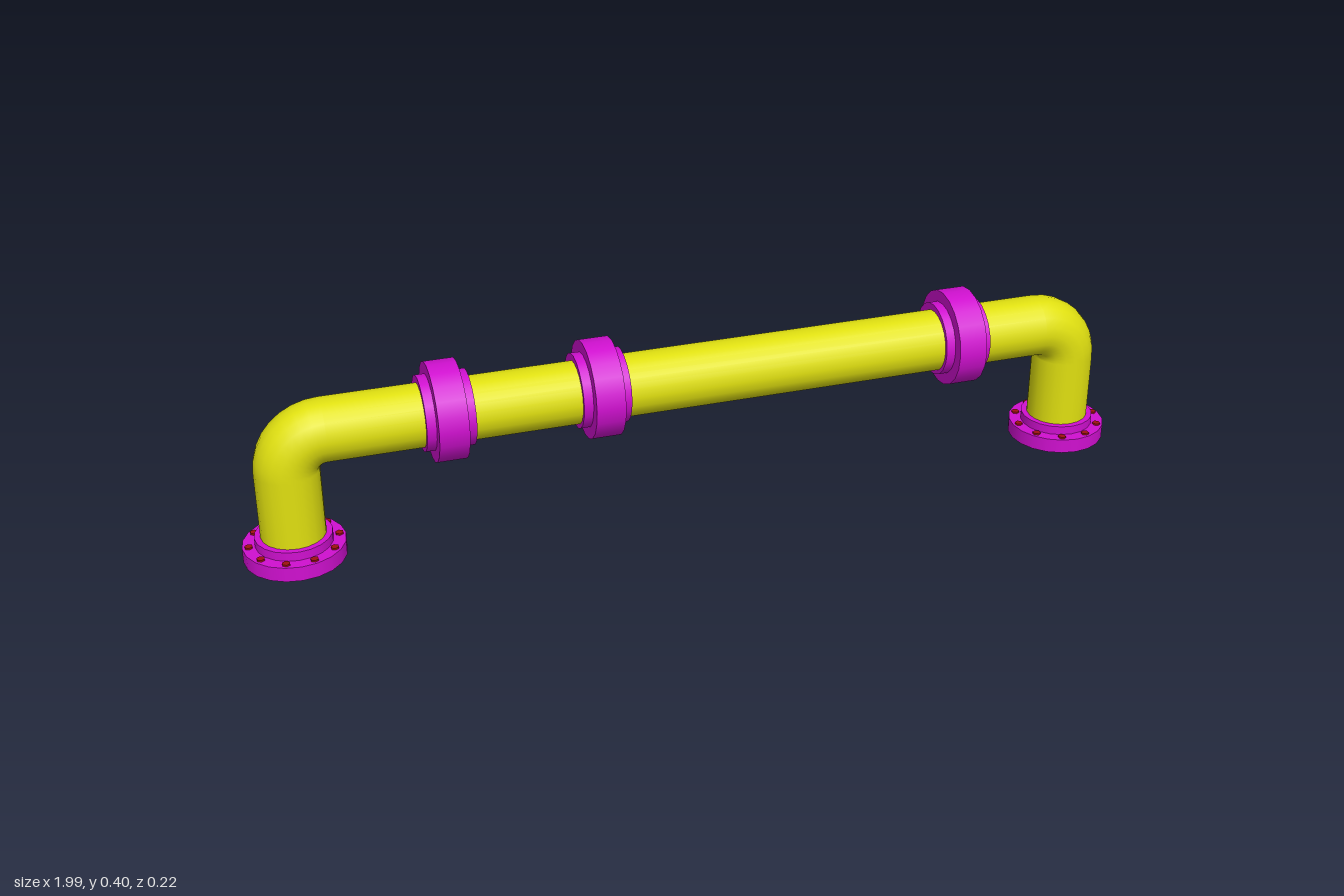
import * as THREE from 'three';

const SIDES = 20;
const PIPE_R = 0.069, BEND = 0.08;
const LEG_X = 0.888, AXIS_Y = 0.286, PIPE_Z = 0.003;

const yellow = new THREE.MeshStandardMaterial({ color: 0xe0e010 });
const magenta = new THREE.MeshStandardMaterial({ color: 0xd010d0 });
const red = new THREE.MeshStandardMaterial({ color: 0xa01010 });

function add(parent, name, geometry, material, x = 0, y = 0, z = 0) {
  const mesh = new THREE.Mesh(geometry, material);
  mesh.name = name;
  mesh.position.set(x, y, z);
  parent.add(mesh);
  return mesh;
}

const disc = (r, h, sides = SIDES) => new THREE.CylinderGeometry(r, r, h, sides);

// Bolted foot plate with a raised neck
function makeFlange() {
  const flange = new THREE.Group();
  add(flange, 'flangePlate', disc(0.109, 0.033), magenta, 0, 0.0165, 0);
  add(flange, 'flangeNeck', disc(0.082, 0.04), magenta, 0, 0.033, 0);
  for (let i = 0; i < 10; i++) {
    const a = (i / 10) * Math.PI * 2;
    add(flange, 'bolt', disc(0.009, 0.012, 6), red, Math.cos(a) * 0.095, 0.031, Math.sin(a) * 0.095);
  }
  return flange;
}

// Coupling ring: wide band between two narrower shoulders
function makeCollar() {
  const collar = new THREE.Group();
  add(collar, 'collarShoulders', disc(0.082, 0.105), magenta);
  add(collar, 'collarBand', disc(0.108, 0.064), magenta);
  collar.rotation.z = Math.PI / 2;
  return collar;
}

export function createModel() {
  const model = new THREE.Group();
  model.name = 'pipe';

  // Horizontal run
  const runEnd = LEG_X - BEND, legTop = AXIS_Y - BEND;
  const run = add(model, 'horizontalPipe',
    new THREE.CylinderGeometry(PIPE_R, PIPE_R, runEnd * 2, SIDES, 1, true), yellow, 0, AXIS_Y, PIPE_Z);
  run.rotation.z = Math.PI / 2;

  // Elbow, leg and foot at each end
  for (const side of [-1, 1]) {
    const end = new THREE.Group();
    end.name = side > 0 ? 'leftEnd' : 'rightEnd';
    end.position.set(side * LEG_X, 0, PIPE_Z);
    end.rotation.y = side > 0 ? 0 : Math.PI;
    add(end, 'elbow', new THREE.TorusGeometry(BEND, PIPE_R, SIDES, 8, Math.PI / 2), yellow, -BEND, legTop, 0);
    add(end, 'leg', new THREE.CylinderGeometry(PIPE_R, PIPE_R, legTop - 0.02, SIDES, 1, true),
      yellow, 0, (legTop + 0.02) / 2, 0);
    const flange = makeFlange();
    flange.name = 'flange';
    end.add(flange);
    model.add(end);
  }

  // Couplings along the run
  for (const x of [-0.552, -0.218, 0.612]) {
    const collar = makeCollar();
    collar.name = 'collar';
    collar.position.set(x, AXIS_Y + 0.001, -0.002);
    model.add(collar);
  }
  return model;
}
